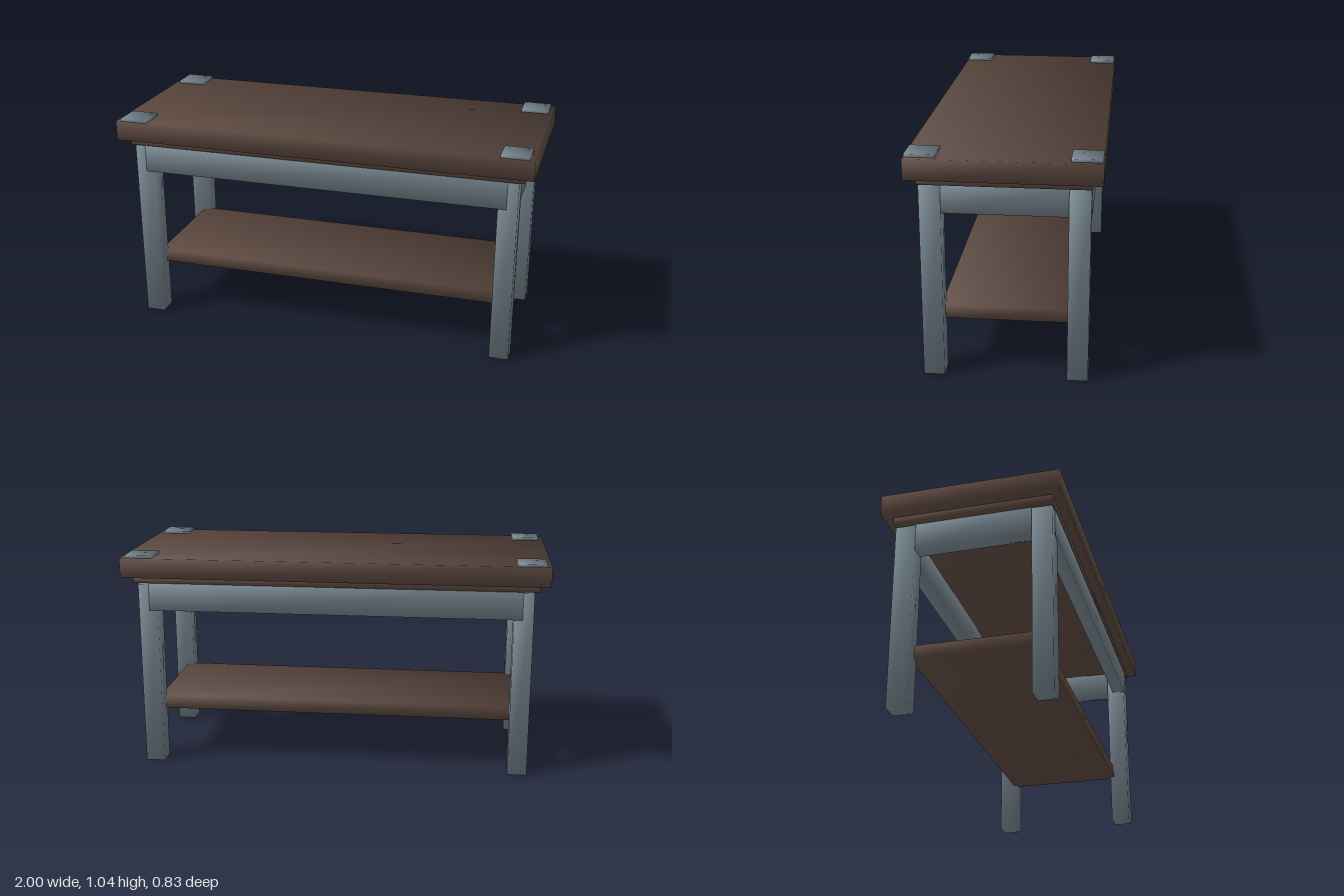
import * as THREE from 'three';
import { mergeVertices } from 'three/addons/utils/BufferGeometryUtils.js';

const wood = new THREE.MeshStandardMaterial({ name: 'dark wood', color: 0x5c483f });
const steel = new THREE.MeshStandardMaterial({ name: 'blue grey paint', color: 0x76858e });

// Box with shared corners, so the normals blend smoothly around the edges
function softBox(w, h, d) {
  const geo = new THREE.BoxGeometry(w, h, d);
  geo.deleteAttribute('uv');
  geo.deleteAttribute('normal');
  const soft = mergeVertices(geo);
  const pos = soft.attributes.position;
  const normals = [];
  for (let i = 0; i < pos.count; i++) {
    const n = new THREE.Vector3(Math.sign(pos.getX(i)), Math.sign(pos.getY(i)), Math.sign(pos.getZ(i)));
    normals.push(...n.normalize().toArray());
  }
  soft.setAttribute('normal', new THREE.Float32BufferAttribute(normals, 3));
  return soft;
}

export function createModel() {
  const table = new THREE.Group();
  table.name = 'table';

  // Adds a box given by its extents along each axis
  function addPart(name, material, [x0, x1], [y0, y1], [z0, z1]) {
    const mesh = new THREE.Mesh(softBox(x1 - x0, y1 - y0, z1 - z0), material);
    mesh.position.set((x0 + x1) / 2, (y0 + y1) / 2, (z0 + z1) / 2);
    mesh.name = name;
    table.add(mesh);
  }
  const span = (side, a, b) => (side > 0 ? [a, b] : [-b, -a]);

  // Top slab, the step below it and the lower shelf
  addPart('tableTop', wood, [-1, 1], [0.93, 1.024], [-0.415, 0.415]);
  addPart('topUnderframe', wood, [-0.953, 0.953], [0.897, 0.93], [-0.37, 0.37]);
  addPart('lowerShelf', wood, [-0.87, 0.87], [0.25, 0.31], [-0.29, 0.29]);

  for (const s of [1, -1]) {
    // Rails under the top
    addPart(s > 0 ? 'frontApron' : 'backApron', steel, [-0.88, 0.88], [0.764, 0.897], span(s, 0.302, 0.367));
    addPart(s > 0 ? 'leftApron' : 'rightApron', steel, span(s, 0.86, 0.925), [0.764, 0.897], [-0.292, 0.292]);

    // Legs and corner plates
    for (const t of [1, -1]) {
      const corner = (t > 0 ? 'front' : 'back') + (s > 0 ? 'Left' : 'Right');
      addPart(corner + 'Leg', steel, span(s, 0.84, 0.931), [0, 0.89], span(t, 0.271, 0.364));
      addPart(corner + 'CornerPlate', steel, span(s, 0.845, 0.977), [1.015, 1.037], span(t, 0.28, 0.411));
    }
  }
  return table;
}
